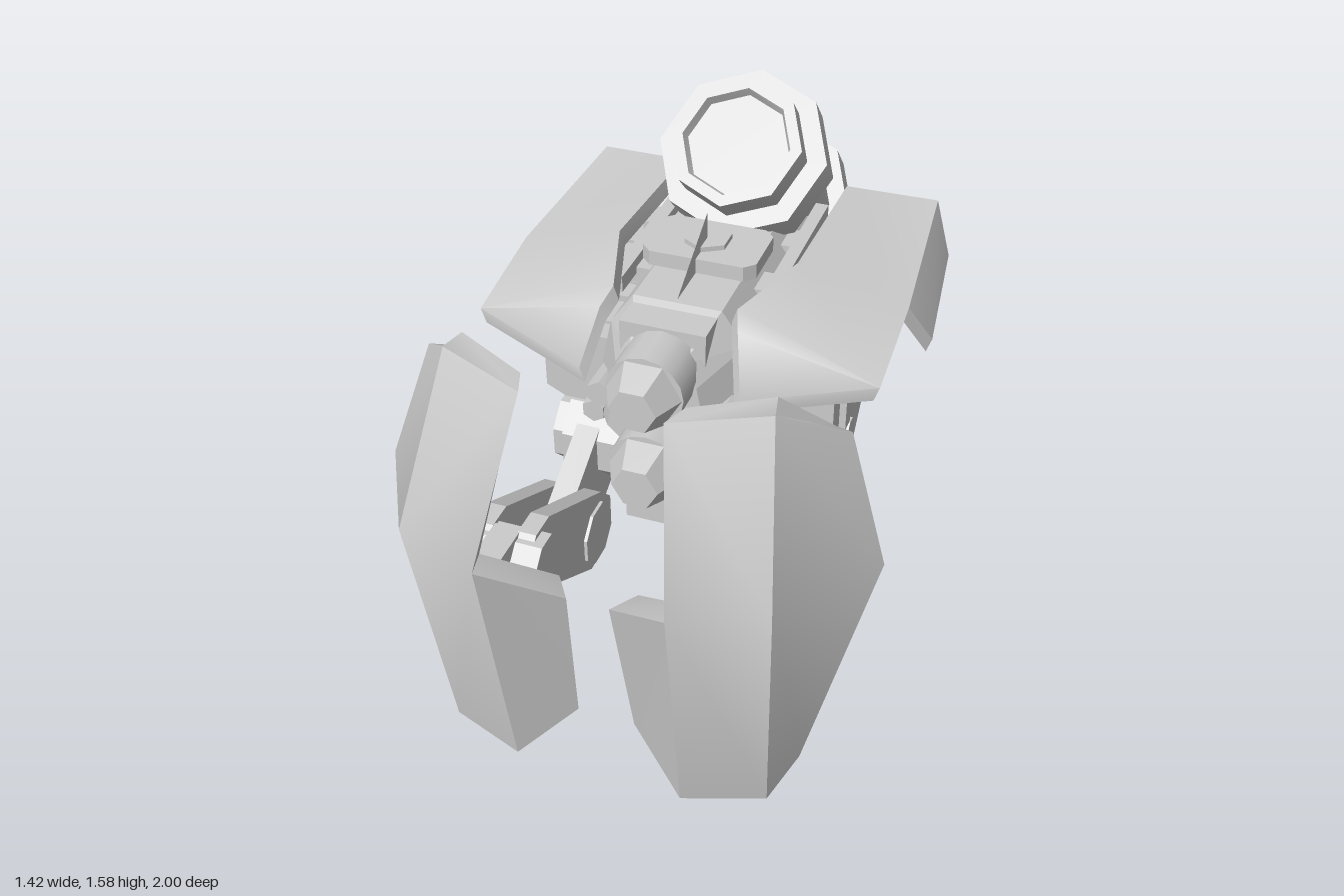
import * as THREE from 'three';
import { toCreasedNormals } from 'three/addons/utils/BufferGeometryUtils.js';
import { ConvexGeometry } from 'three/addons/geometries/ConvexGeometry.js';

const flat = new THREE.MeshStandardMaterial({ color: 0xcccccc, flatShading: true });
const smooth = new THREE.MeshStandardMaterial({ color: 0xcccccc });
const sheet = new THREE.MeshStandardMaterial({ color: 0xcccccc, side: THREE.DoubleSide });
const V = (x, y, z) => new THREE.Vector3(x, y, z);

// Mirrored copy across x = 0 with corner order restored
function mirrored(geo) {
  const g = geo.index ? geo.toNonIndexed() : geo.clone();
  g.scale(-1, 1, 1);
  for (const p of [g.attributes.position, g.attributes.normal]) {
    for (let i = 0; i < p.count; i += 3) {
      const a = V().fromBufferAttribute(p, i + 1), b = V().fromBufferAttribute(p, i + 2);
      p.setXYZ(i + 1, b.x, b.y, b.z);
      p.setXYZ(i + 2, a.x, a.y, a.z);
    }
  }
  return g;
}

// Plate: outer faces, the same faces pushed inwards, and a rim between them
function shell(pts, faces, offset) {
  const n = pts.length, idx = [], edges = new Set();
  const inner = pts.map(p => { const o = offset(p); return p.map((c, i) => c + o[i]); });
  for (const f of faces) {
    f.forEach((a, i) => edges.add(a + '_' + f[(i + 1) % f.length]));
    for (let i = 1; i < f.length - 1; i++) {
      idx.push(f[0], f[i], f[i + 1], n + f[0], n + f[i + 1], n + f[i]);
    }
  }
  for (const e of edges) {
    const [a, b] = e.split('_').map(Number);
    if (!edges.has(b + '_' + a)) idx.push(b, a, n + a, b, n + a, n + b);
  }
  const g = new THREE.BufferGeometry();
  g.setAttribute('position', new THREE.Float32BufferAttribute([...pts, ...inner].flat(), 3));
  g.setIndex(idx);
  return toCreasedNormals(g, 0.64);
}

// Arm with rounded ends, between two (z, y, radius) joints
function link(a, b, x0, x1) {
  const pts = [];
  for (const [z, y, r] of [a, b]) for (let i = 0; i < 8; i++) {
    const t = (i + 0.5) * Math.PI / 4;
    for (const x of [x0, x1]) pts.push(V(x, y + r * Math.sin(t), z + r * Math.cos(t)));
  }
  return new ConvexGeometry(pts);
}

// Block with its outer top and bottom edges cut
function block(x1, y0, y1, z0, z1, cut) {
  const outline = [[0.2, y0], [x1 - cut * 2, y0], [x1, y0 + cut], [x1, y1 - cut], [x1 - cut * 2, y1], [0.2, y1]];
  return new ConvexGeometry(outline.flatMap(([x, y]) => [V(x, y, z0), V(x, y, z1)]));
}

const box = (x0, x1, y0, y1, z0, z1) => new THREE.BoxGeometry(x1 - x0, y1 - y0, z1 - z0)
  .translate((x0 + x1) / 2, (y0 + y1) / 2, (z0 + z1) / 2);
const pin = (z, y, r, x0, x1) => new THREE.CylinderGeometry(r, r, x1 - x0, 8).rotateY(Math.PI / 8)
  .rotateZ(Math.PI / 2).translate((x0 + x1) / 2, y, z);
const rod = (x, y, z0, z1, r0, r1, n) => new THREE.CylinderGeometry(r1, r0, z1 - z0, n)
  .rotateX(Math.PI / 2).translate(x, y, (z0 + z1) / 2);

export function createModel() {
  const root = new THREE.Group();
  const add = (name, geo, mat = flat) => {
    const m = new THREE.Mesh(geo, mat);
    m.name = name;
    root.add(m);
  };
  const pair = (name, geo, mat) => {
    add(name + 'Left', geo, mat);
    add(name + 'Right', mirrored(geo), mat);
  };

  // Hull narrowing towards the front
  const section = [[0.075, 0.665], [0.26, 0.81], [0.2, 1.08], [0.13, 1.18]];
  const hull = [];
  for (const [z, sx, sy] of [[-0.5, 1, 1], [0.19, 1, 1], [0.36, 0.58, 0.7]]) for (const [x, y] of section) {
    for (const m of [-1, 1]) hull.push(V(m * x * sx, 0.92 + (y - 0.92) * sy, z));
  }
  add('hull', new ConvexGeometry(hull));
  add('hullNose', box(-0.125, 0.125, 0.72, 1.17, 0.04, 0.31));
  add('hullKeel', box(-0.2, 0.2, 0.66, 0.74, -0.53, -0.1));
  add('rearMount', box(-0.17, 0.17, 0.74, 1.1, -0.6, -0.45));

  // Nose cannons
  for (const y of [0.79, 1.05]) {
    add('cannonBarrel', rod(0, y, 0.18, 0.45, 0.112, 0.112, 16), smooth);
    add('cannonTip', rod(0, 0, 0.45, 0.54, 0.108, 0.068, 6).rotateZ(Math.PI / 6).translate(0, y, 0));
  }

  // Sensor lamps
  pair('upperLamp', rod(0.185, 0.92, 0.2, 0.33, 0.042, 0.042, 6));
  pair('lowerLamp', rod(0.215, 0.84, 0.18, 0.31, 0.045, 0.036, 6));

  // Top hatch with chamfered corners, cap and thin fin
  add('hatch', new ConvexGeometry([[0.17, 0.08], [0.14, 0.11]].flatMap(([x, z]) =>
    [-1, 1].flatMap(i => [-1, 1].flatMap(j => [1.19, 1.235].map(y => V(i * x, y, j * z - 0.07)))))));
  add('hatchBase', box(-0.12, 0.12, 1.15, 1.2, -0.16, 0.02));
  add('hatchCap', new THREE.CylinderGeometry(0.07, 0.07, 0.02, 6).translate(0, 1.24, -0.07));
  const fin = new THREE.Shape([[-0.19, 1.19], [0.06, 1.19], [0.06, 1.33]].map(p => new THREE.Vector2(...p)));
  add('fin', new THREE.ShapeGeometry(fin).rotateY(Math.PI / 2), sheet);

  // Struts between hull and armour
  for (const z of [-0.32, -0.06]) pair('armourStrut', box(0.13, 0.28, 1.09, 1.14, z - 0.05, z + 0.05));
  pair('strutRail', box(0.2, 0.24, 1.12, 1.17, -0.5, 0.1));

  // Side engines with clamp rings
  pair('engineCore', box(0.15, 0.38, 0.77, 0.93, -0.52, 0.12));
  for (const z of [0.03, -0.2, -0.43]) {
    pair('engineSegment', block(0.445, 0.73, 0.97, z - 0.1, z + 0.1, 0.03));
    pair('engineClamp', block(0.465, 0.725, 0.98, z - 0.028, z + 0.028, 0.035));
  }

  // Shoulder armour with drooping outer flap
  const armour = [[0.27, 1.19, -0.6], [0.27, 1.22, -0.06], [0.18, 1.21, 0.21], [0.235, 1.01, 0.345],
    [0.59, 1.06, 0.23], [0.59, 1.12, -0.09], [0.55, 1.17, -0.64], [0.61, 1.02, -0.58],
    [0.655, 0.99, -0.15], [0.2, 1.17, 0.265]];
  pair('shoulderArmour', shell(armour,
    [[0, 1, 5, 6], [1, 2, 4, 5], [2, 9, 4], [9, 3, 4], [6, 5, 8, 7]], () => [-0.015, -0.045, 0]), sheet);

  // Tilted rear drum: profile from rear to recessed front
  const profile = [[0, -0.73], [0.185, -0.73], [0.2, -0.65], [0.26, -0.65], [0.26, -0.51], [0.2, -0.51],
    [0.2, -0.21], [0.26, -0.21], [0.26, -0.09], [0.2, -0.09], [0.2, 0], [0.165, 0], [0.155, -0.03], [0, -0.03]];
  const tilt = g => g.rotateX(Math.PI / 4).translate(0, 1.435, -0.31);
  add('rearDrum', toCreasedNormals(tilt(
    new THREE.LatheGeometry(profile.map(p => new THREE.Vector2(...p)), 8)), 0.85), sheet);
  pair('drumBracket', tilt(box(0.16, 0.33, -0.64, -0.52, 0.04, 0.14)));

  // Return pipe
  const pipe = new THREE.CatmullRomCurve3([V(0, 0.95, -0.8), V(-0.03, 0.83, -0.895), V(-0.1, 0.71, -0.905),
    V(-0.185, 0.67, -0.83), V(-0.24, 0.75, -0.73), V(-0.25, 0.86, -0.62), V(-0.24, 0.95, -0.53)]);
  add('returnPipe', new THREE.TubeGeometry(pipe, 32, 0.093, 12), smooth);

  // Pelvis
  add('pelvis', box(-0.14, 0.14, 0.44, 0.63, -0.26, 0.27));
  add('waist', new THREE.CylinderGeometry(0.18, 0.18, 0.1, 12).translate(0, 0.65, -0.09));

  // Front legs
  const hip = [0.01, 0.53, 0.13], knee = [0.3, 0.375, 0.125], wrist = [0.65, 0.58, 0.11];
  pair('frontHip', pin(0.01, 0.535, 0.145, 0.1, 0.4));
  pair('frontHipCap', pin(0.01, 0.535, 0.12, 0.4, 0.44));
  pair('frontThigh', link(hip, knee, 0.285, 0.36));
  pair('frontKnee', pin(0.3, 0.37, 0.1, 0.22, 0.45));
  for (const x of [0.23, 0.36]) pair('frontForearm', link(knee, wrist, x, x + 0.055));
  pair('frontWrist', pin(0.69, 0.59, 0.085, 0.2, 0.4));
  pair('wristMount', box(0.28, 0.36, 0.5, 0.68, 0.68, 0.88));

  // Folded shields carried by the front legs
  const shield = [[0.44, 1.27, 0.71], [0.19, 1.25, 0.8], [0.51, 0.81, 0.92], [0.26, 0.8, 1], [0.48, 0, 0.8],
    [0.25, 0, 0.88], [0.59, 1.13, 0.53], [0.71, 0.77, 0.585], [0.54, 0.08, 0.69], [0.06, 0.67, 0.88],
    [0.085, 0.16, 0.8]];
  pair('shield', shell(shield,
    [[1, 3, 2, 0], [3, 5, 4, 2], [0, 2, 7, 6], [2, 4, 8, 7], [3, 9, 10, 5]],
    ([x, y]) => [(0.35 - x) * 0.18, y < 0.1 ? 0.02 : 0, x > 0.52 ? -0.01 : -0.075]), sheet);

  // Rear legs
  const rHip = [-0.3, 0.56, 0.055], rKnee = [-0.34, 0.41, 0.055], rAnkle = [-0.57, 0.28, 0.06];
  pair('rearHipArm', box(0.1, 0.26, 0.5, 0.61, -0.34, -0.2));
  pair('rearHip', pin(-0.3, 0.56, 0.072, 0.18, 0.35));
  pair('rearThigh', link(rHip, rKnee, 0.25, 0.31));
  pair('rearKnee', pin(-0.34, 0.41, 0.065, 0.21, 0.35));
  for (const x of [0.225, 0.305]) pair('rearShin', link(rKnee, rAnkle, x, x + 0.03));
  pair('rearAnkle', pin(-0.57, 0.28, 0.045, 0.215, 0.345));
  pair('ankleMount', box(0.255, 0.305, 0.25, 0.32, -0.67, -0.57));

  // Rear claws
  const claw = [[0.035, 0.55, -0.6], [0.045, 0.49, -0.53], [0.03, 0.4, -0.71],
    [0.08, 0.38, -0.65], [0.03, 0.01, -0.71], [0.04, 0.06, -0.67]];
  pair('rearClaw', new ConvexGeometry(claw.flatMap(([x, y, z]) => [V(0.28 + x, y, z), V(0.28 - x, y, z)])));

  return root;
}
